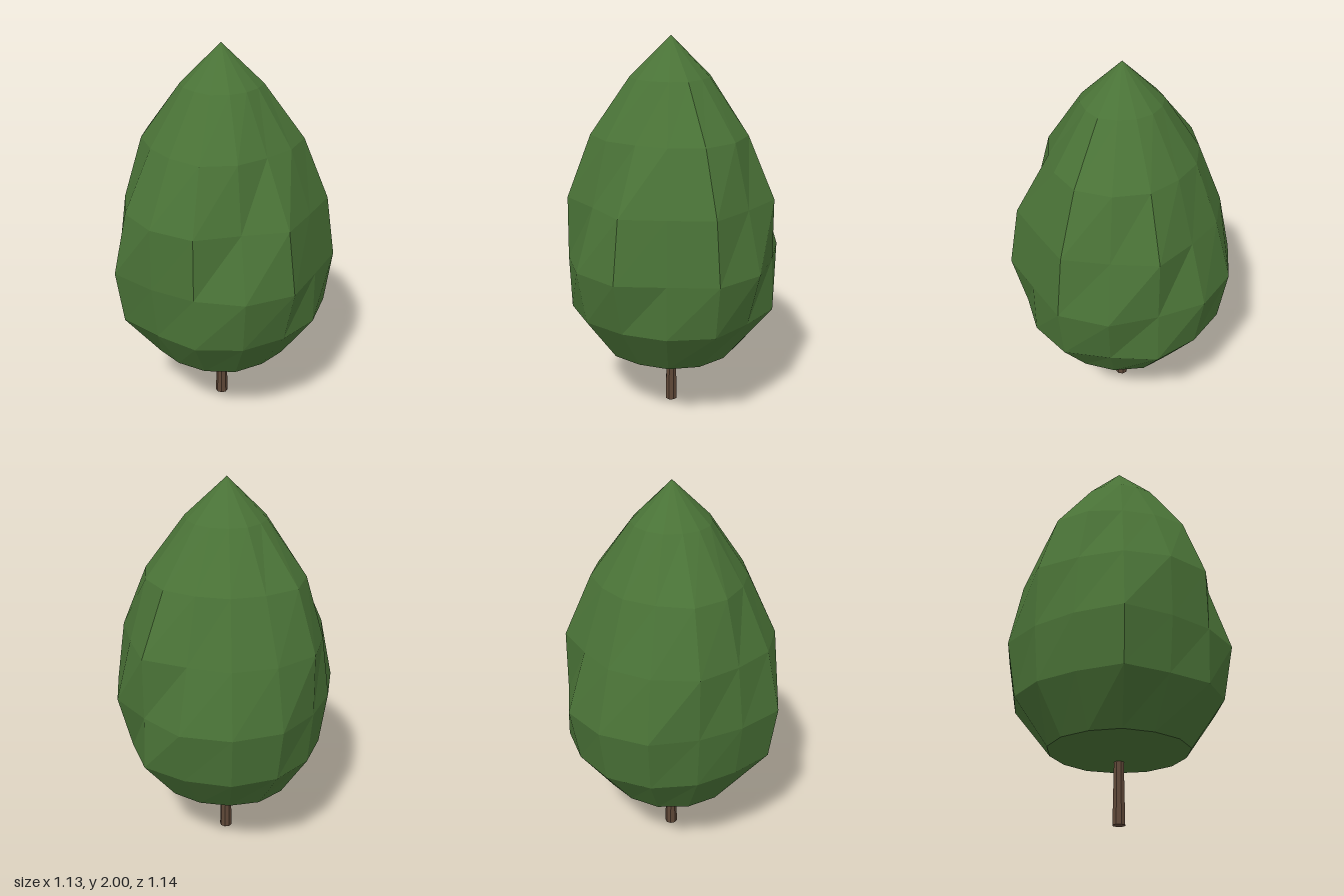
import * as THREE from 'three';

const AXIS_X = -0.03;
const SIDES = 14;

// Crown rings from bottom to top: height, then the radius at each of the 14 columns
const rings = [
  { y: 0.36, r: [0.365, 0.36, 0.36, 0.35, 0.35, 0.36, 0.36, 0.355, 0.36, 0.35, 0.355, 0.36, 0.35, 0.36] },
  { y: 0.60, r: [0.55, 0.51, 0.55, 0.53, 0.54, 0.53, 0.51, 0.50, 0.55, 0.50, 0.53, 0.53, 0.515, 0.53] },
  { y: 0.88, r: [0.59, 0.58, 0.54, 0.58, 0.585, 0.575, 0.535, 0.537, 0.59, 0.533, 0.54, 0.58, 0.587, 0.532] },
  { y: 1.20, r: [0.545, 0.50, 0.54, 0.48, 0.50, 0.51, 0.53, 0.495, 0.52, 0.53, 0.535, 0.475, 0.535, 0.49] },
  { y: 1.52, r: [0.415, 0.41, 0.40, 0.375, 0.38, 0.385, 0.42, 0.40, 0.375, 0.38, 0.41, 0.39, 0.36, 0.38] },
  { y: 1.80, r: [0.21, 0.20, 0.20, 0.20, 0.20, 0.205, 0.20, 0.20, 0.20, 0.195, 0.21, 0.205, 0.20, 0.20] },
];

// Faceted crown: uneven rings joined by triangles, closed by a point at each end
function crownGeometry() {
  const pos = [];
  const vertex = (ring, k) => {
    const a = (k / SIDES) * Math.PI * 2;
    const r = ring.r[k % SIDES];
    return [Math.cos(a) * r, ring.y, -Math.sin(a) * r];
  };
  const tri = (a, b, c) => pos.push(...a, ...b, ...c);
  const base = [0, 0.305, 0];
  const tip = [0, 2, 0];
  for (let k = 0; k < SIDES; k++) {
    tri(base, vertex(rings[0], k + 1), vertex(rings[0], k));
    for (let i = 0; i < rings.length - 1; i++) {
      const a = vertex(rings[i], k), b = vertex(rings[i], k + 1);
      const c = vertex(rings[i + 1], k + 1), d = vertex(rings[i + 1], k);
      tri(a, b, c);
      tri(a, c, d);
    }
    const top = rings[rings.length - 1];
    tri(vertex(top, k), vertex(top, k + 1), tip);
  }
  const geo = new THREE.BufferGeometry();
  geo.setAttribute('position', new THREE.Float32BufferAttribute(pos, 3));
  geo.computeVertexNormals(); // unshared corners keep every facet flat
  return geo;
}

// Slim tapered trunk with flat sides
function trunkGeometry() {
  const geo = new THREE.CylinderGeometry(0.025, 0.033, 0.36, 8).toNonIndexed();
  geo.computeVertexNormals();
  return geo.translate(0, 0.18, 0);
}

export function createModel() {
  const leafGreen = new THREE.MeshStandardMaterial({ color: 0x4a7337 });
  leafGreen.name = 'leafGreen';
  const barkBrown = new THREE.MeshStandardMaterial({ color: 0x5f4838 });
  barkBrown.name = 'barkBrown';

  const tree = new THREE.Group();
  tree.name = 'tree';
  const parts = [
    ['crown', crownGeometry(), leafGreen],
    ['trunk', trunkGeometry(), barkBrown],
  ];
  for (const [name, geometry, material] of parts) {
    const mesh = new THREE.Mesh(geometry, material);
    mesh.name = name;
    mesh.position.x = AXIS_X;
    tree.add(mesh);
  }
  return tree;
}
